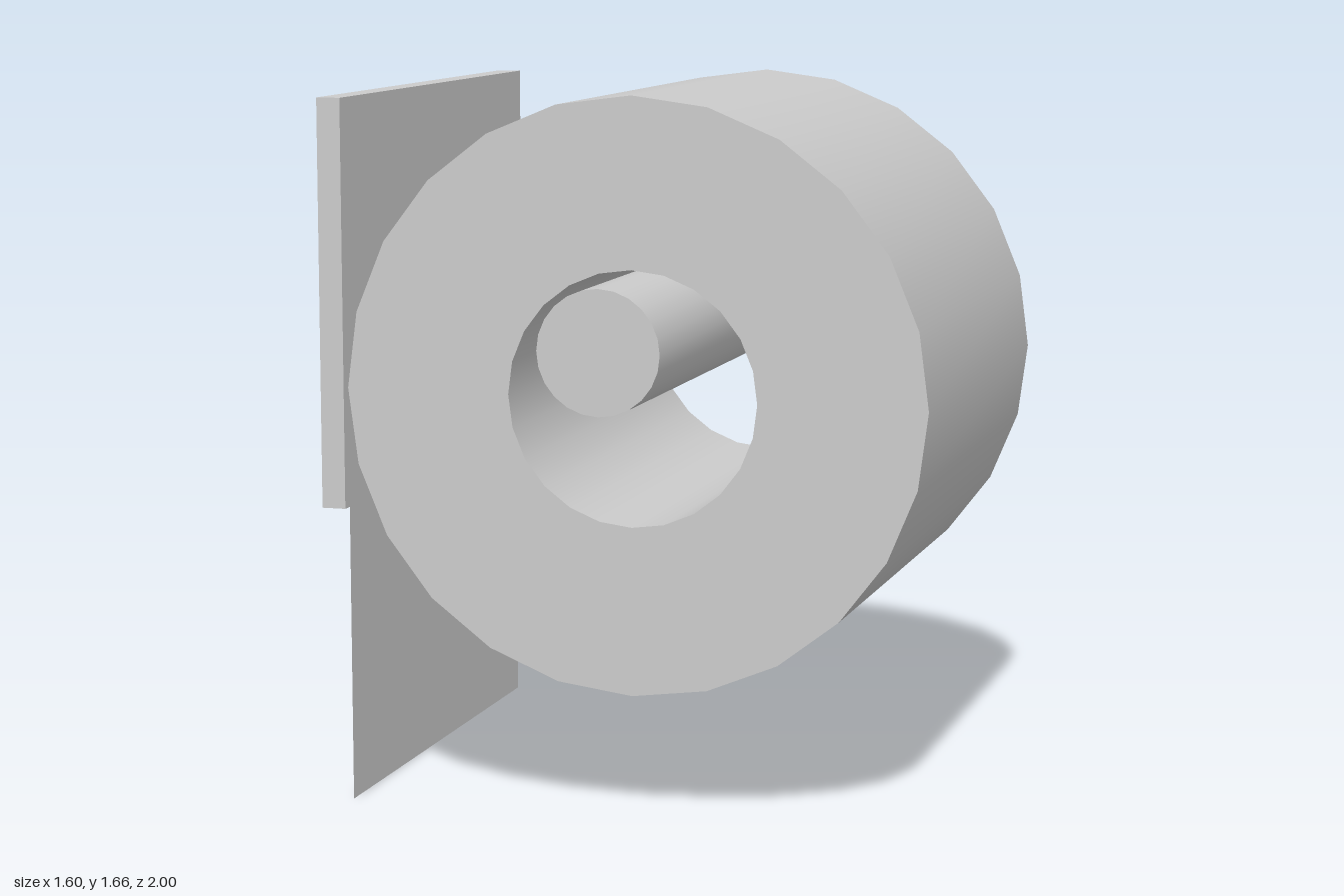
import * as THREE from 'three';
import { mergeGeometries } from 'three/addons/utils/BufferGeometryUtils.js';

const SIDES = 24;
const ROD_R = 0.141, ROD_Y = 1.112;
const ROLL = { x: 0.116, y: 0.975, z: 0.162, outer: 0.683, inner: 0.293, half: 0.592 };

const grey = (side = THREE.FrontSide) => new THREE.MeshStandardMaterial({ color: 0xcccccc, side });

function addMesh(group, name, geometry, side) {
  const mesh = new THREE.Mesh(geometry, grey(side));
  mesh.name = name;
  group.add(mesh);
  return mesh;
}

// Upright wall plate with a round hole where the rod enters
function plateGeometry() {
  const shape = new THREE.Shape();
  shape.moveTo(-0.34, 0.61);
  shape.lineTo(1, 0.61);
  shape.lineTo(1, 1.615);
  shape.lineTo(-0.34, 1.615);
  shape.closePath();
  const hole = new THREE.Path();
  hole.absarc(0.622, ROD_Y, ROD_R, 0, Math.PI * 2, true);
  shape.holes.push(hole);
  const geo = new THREE.ExtrudeGeometry(shape, { depth: 0.06, bevelEnabled: false, curveSegments: SIDES });
  return geo.rotateY(Math.PI / 2).translate(-0.805, 0, 0);
}

// Bent rod: each ring is given by its outer and inner point in plan [x, z]
function rodGeometry() {
  const rings = [
    [[-0.745, -0.762], [-0.745, -0.482]],
    [[-0.14, -0.82], [-0.115, -0.54]],
    [[0.05, -0.79], [-0.06, -0.535]],
    [[0.185, -0.69], [-0.035, -0.515]],
    [[0.256, -0.5], [-0.026, -0.49]],
    [[0.256, 1], [-0.026, 1]],
  ];
  const positions = [], index = [];
  rings.forEach(([o, n], i) => {
    for (let j = 0; j < SIDES; j++) {
      const a = (j / SIDES) * Math.PI * 2, t = (1 + Math.cos(a)) / 2;
      positions.push(n[0] + (o[0] - n[0]) * t, ROD_Y + ROD_R * Math.sin(a), n[1] + (o[1] - n[1]) * t);
      if (i === rings.length - 1) continue;
      const p = i * SIDES + j, q = i * SIDES + (j + 1) % SIDES;
      index.push(p, q, p + SIDES, q, q + SIDES, p + SIDES);
    }
  });
  const geo = new THREE.BufferGeometry();
  geo.setAttribute('position', new THREE.Float32BufferAttribute(positions, 3));
  geo.setIndex(index);
  geo.computeVertexNormals();
  return geo;
}

// Hollow roll: one lathe per wall keeps the rims sharp
function rollGeometry() {
  const { outer, inner, half } = ROLL;
  const profile = [[outer, -half], [outer, half], [inner, half], [inner, -half]]
    .map(([r, y]) => new THREE.Vector2(r, y));
  const walls = profile.map((p, i) => new THREE.LatheGeometry([p, profile[(i + 1) % 4]], SIDES));
  return mergeGeometries(walls).rotateX(Math.PI / 2);
}

export function createModel() {
  const model = new THREE.Group();
  model.name = 'paperRollHolder';

  addMesh(model, 'wallPlate', plateGeometry());

  // Rod with a flat front end, open at the wall
  const rod = new THREE.Group();
  rod.name = 'rod';
  addMesh(rod, 'rodTube', rodGeometry(), THREE.DoubleSide);
  addMesh(rod, 'rodEnd', new THREE.CircleGeometry(ROD_R, SIDES)).position.set(0.115, ROD_Y, 1);
  model.add(rod);

  addMesh(model, 'paperRoll', rollGeometry()).position.set(ROLL.x, ROLL.y, ROLL.z);

  // Loose sheet hanging from the side of the roll
  const sheet = new THREE.PlaneGeometry(ROLL.half * 2, ROLL.y).rotateY(-Math.PI / 2);
  addMesh(model, 'hangingSheet', sheet, THREE.DoubleSide)
    .position.set(ROLL.x - ROLL.outer, ROLL.y / 2, ROLL.z);

  return model;
}
